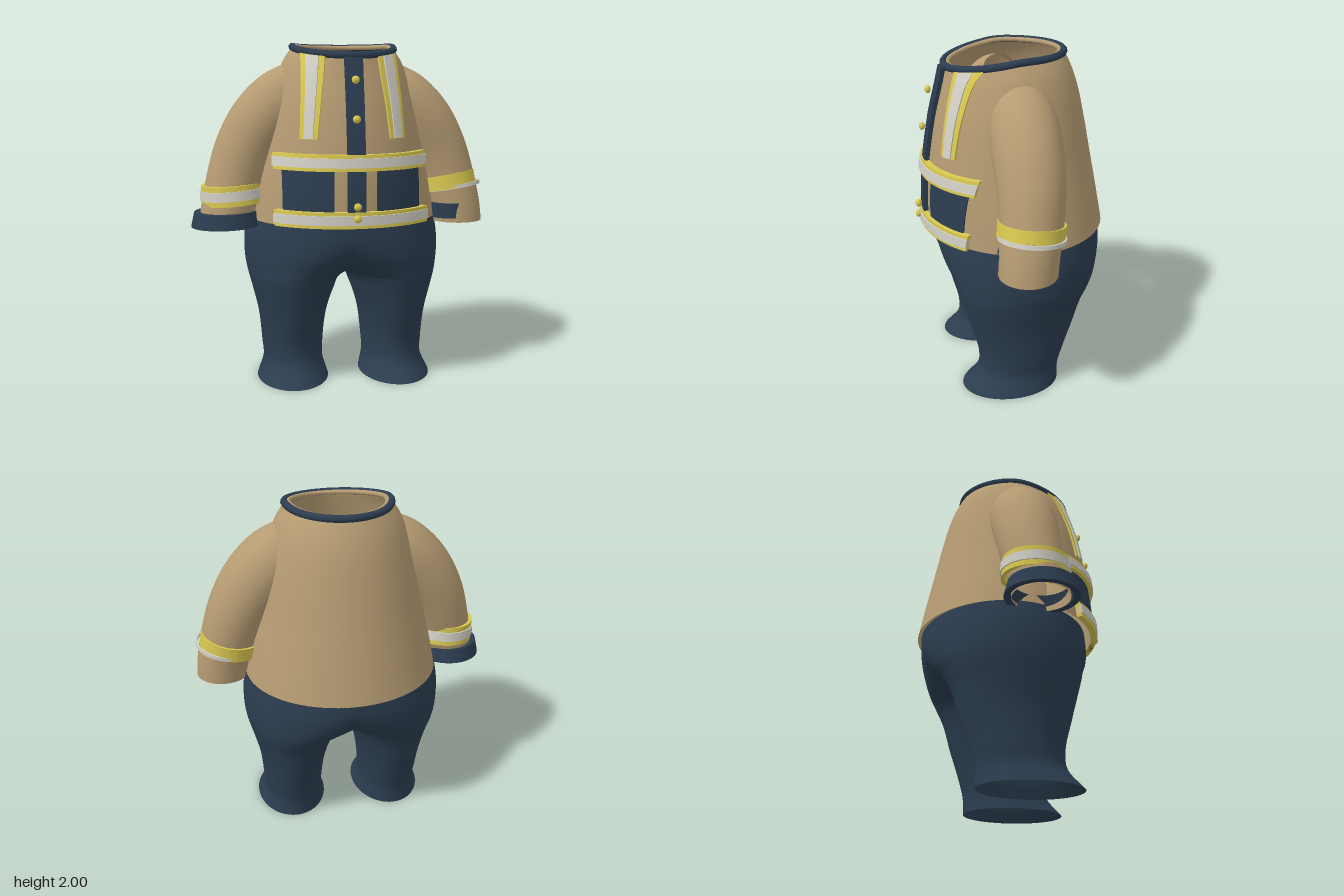
import * as THREE from 'three';
import { toCreasedNormals } from 'three/addons/utils/BufferGeometryUtils.js';

const CX = 0.02; // centre line of the suit

function material(name, color) {
  const m = new THREE.MeshStandardMaterial({ color, side: THREE.DoubleSide });
  m.name = name;
  return m;
}

// Smooth lookup in a table of rows [y, a, b, ...]
function table(rows) {
  const size = rows[0].length - 1;
  const curve = new THREE.CubicInterpolant(rows.map(r => r[0]), rows.flatMap(r => r.slice(1)), size, new Float32Array(size));
  return y => Array.from(curve.evaluate(y));
}

// Grid surface from a rule fn(u, v) -> [x, y, z]; seam normals are smoothed
function loft(cols, rows, fn) {
  const g = new THREE.PlaneGeometry(1, 1, cols, rows);
  const p = g.attributes.position;
  for (let i = 0; i < p.count; i++) {
    const c = i % (cols + 1), r = Math.floor(i / (cols + 1));
    p.setXYZ(i, ...fn(c / cols, 1 - r / rows, c, r));
  }
  g.computeVertexNormals();
  const n = g.attributes.normal, a = new THREE.Vector3(), b = new THREE.Vector3();
  for (let r = 0; r <= rows; r++) {
    const i = r * (cols + 1), j = i + cols;
    a.fromBufferAttribute(p, i); b.fromBufferAttribute(p, j);
    if (a.distanceTo(b) < 1e-4) {
      a.fromBufferAttribute(n, i); b.fromBufferAttribute(n, j);
      a.add(b).normalize();
      n.setXYZ(i, a.x, a.y, a.z); n.setXYZ(j, a.x, a.y, a.z);
    } else {
      for (const k of [i, j]) {
        if (Math.abs(p.getX(k)) > 1e-4) continue;
        a.fromBufferAttribute(n, k).setX(0).normalize();
        n.setXYZ(k, a.x, a.y, a.z);
      }
    }
  }
  return g;
}

// Jacket body: y, half width, front z, back z
const jacketAt = table([
  [0.98, 0.568, 0.49, -0.557], [1.2, 0.525, 0.488, -0.515], [1.4, 0.48, 0.47, -0.475],
  [1.6, 0.44, 0.437, -0.435], [1.8, 0.385, 0.398, -0.388], [1.9, 0.345, 0.378, -0.35],
  [1.975, 0.295, 0.362, -0.312],
]);
function jacketPoint(angle, y, off = 0) {
  const [w, zf, zb] = jacketAt(y), d = (zf - zb) / 2;
  const s = Math.sin(angle), c = Math.cos(angle), len = Math.hypot(s / w, c / d);
  const z = (zf + zb) / 2 + d * c;
  const dip = 0.06 * Math.max(0, z / 0.37) * THREE.MathUtils.smoothstep(y, 1.6, 1.975);
  return [w * s + off * s / w / len, y - dip, z + off * c / d / len];
}

// Closed tube following the neck opening
function neckRing(off, radius) {
  const rim = [];
  for (let i = 0; i < 32; i++) rim.push(new THREE.Vector3(...jacketPoint(i / 32 * Math.PI * 2, 1.975, off)));
  return new THREE.TubeGeometry(new THREE.CatmullRomCurve3(rim, true), 72, radius, 10, true);
}

// Raised panel lying on the jacket front; bottom and top are [xLeft, xRight]
function panel(bottom, top, y0, y1, off) {
  const cols = 26, rows = 14;
  const g = loft(cols, rows, (u, v, c, r) => {
    const edge = c === 0 || c === cols || r === 0 || r === rows;
    const s = THREE.MathUtils.clamp((c - 1) / (cols - 2), 0, 1);
    const t = 1 - THREE.MathUtils.clamp((r - 1) / (rows - 2), 0, 1);
    const y = y0 + (y1 - y0) * t, lerp = THREE.MathUtils.lerp;
    const x = lerp(lerp(bottom[0], top[0], t), lerp(bottom[1], top[1], t), s);
    return jacketPoint(Math.asin(x / jacketAt(y)[0]), y, edge ? 0.002 : off);
  });
  return toCreasedNormals(g, 0.7);
}

// Trouser half: y, outer x, inner x (negative = joined at the middle), front z, back z
const CROTCH = 0.64;
const legAt = table([
  [0, 0.53, 0.10, 0.36, -0.23], [0.1, 0.49, 0.128, 0.27, -0.235], [0.2, 0.495, 0.125, 0.255, -0.26],
  [0.4, 0.515, 0.10, 0.30, -0.325], [0.55, 0.55, 0.05, 0.34, -0.37], [CROTCH, 0.573, 0, 0.365, -0.415],
  [0.7, 0.585, -0.12, 0.385, -0.455], [0.78, 0.592, -0.3, 0.42, -0.495], [0.87, 0.59, -0.47, 0.443, -0.525],
  [0.98, 0.572, -0.572, 0.45, -0.535],
]);
function trouserHalf(side) {
  return loft(48, 48, (u, v) => {
    const y = v <= 0.5 ? CROTCH * v * 2 : CROTCH + (0.98 - CROTCH) * (v - 0.5) * 2;
    const [xo, xi, zf, zb] = legAt(y);
    const cx = (xo + xi) / 2, rx = (xo - xi) / 2;
    const a = (2 * u - 1) * side * Math.acos(Math.max(-1, -cx / rx));
    return [side * Math.max(0, cx + rx * Math.cos(a)), y, (zf + zb) / 2 - (zf - zb) / 2 * Math.sin(a)];
  });
}

// Sleeve: path from the open end inside the shoulder to the wrist, with radius
const sleevePath = new THREE.CatmullRomCurve3([
  [0.18, 1.82, 0], [0.26, 1.755, 0.005], [0.36, 1.665, 0.01], [0.48, 1.535, 0.015],
  [0.575, 1.375, 0.02], [0.638, 1.2, 0.035], [0.682, 1.03, 0.058], [0.695, 0.94, 0.067],
].map(p => new THREE.Vector3(...p)));
const sleeveRadius = table([[0, 0.1], [1, 0.15], [2, 0.186], [3, 0.192], [4, 0.183], [5, 0.172], [6, 0.163], [7, 0.16]]);
function sleeve(side) {
  return loft(36, 42, (u, v) => {
    const t = 1 - v, c = sleevePath.getPoint(t), d = sleevePath.getTangent(t);
    d.x *= 1 - THREE.MathUtils.smoothstep(t, 0.75, 1); // level hem
    const len = Math.hypot(d.x, d.y), [r] = sleeveRadius(t * 7);
    const a = (2 * u - 1) * Math.PI * side, k = r * Math.cos(a);
    return [side * (c.x - d.y / len * k), c.y + d.x / len * k, c.z - r * Math.sin(a)];
  });
}

// Hoop of height h, with bottom and top radius
function hoop(rBottom, rTop, h, thick = 0.012) {
  const pts = [[rBottom - thick, -h / 2], [rBottom, -h / 2], [rTop, h / 2], [rTop - thick, h / 2], [rBottom - thick, -h / 2]];
  return toCreasedNormals(new THREE.LatheGeometry(pts.map(p => new THREE.Vector2(...p)), 40), 0.7);
}

export function createModel() {
  const tan = material('tan cloth', 0xb59b72);
  const navy = material('navy cloth', 0x2c3d50);
  const yellow = material('yellow trim', 0xd9c850);
  const silver = material('pale reflective tape', 0xd2d0c6);

  const model = new THREE.Group();
  model.name = 'workSuit';
  const suit = new THREE.Group();
  suit.name = 'suit';
  suit.position.x = CX;
  model.add(suit);
  const add = (name, geometry, mat, pos = [0, 0, 0], rot = [0, 0, 0]) => {
    const m = new THREE.Mesh(geometry, mat);
    m.name = name;
    m.position.set(...pos);
    m.rotation.set(...rot);
    suit.add(m);
    return m;
  };

  // Jacket body, collar and its lining
  add('jacketBody', loft(64, 32, (u, v) => jacketPoint((2 * u - 1) * Math.PI, 0.98 + 0.995 * v)), tan);
  add('collar', neckRing(0, 0.021), navy);
  add('collarLining', neckRing(-0.022, 0.014), tan);

  // Trousers, sleeves, pockets and chest tapes on both sides
  for (const s of [1, -1]) {
    const side = s > 0 ? 'left' : 'right';
    const span = (a, b) => (s > 0 ? [a, b] : [-b, -a]);
    add(side + 'TrouserLeg', trouserHalf(s), navy);
    add(side + 'Sleeve', sleeve(s), tan);
    add(side + 'Pocket', panel(span(0.118, 0.383), span(0.118, 0.383), 1.05, 1.31, 0.012), navy);
    add(side + 'ChestTapeEdge', panel(span(0.198, 0.288), span(0.143, 0.26), 1.465, 1.965, 0.014), yellow);
    add(side + 'ChestTape', panel(span(0.22, 0.266), span(0.172, 0.232), 1.467, 1.964, 0.022), silver);
  }

  // Front closure and waist tapes
  add('placket', panel([-0.048, 0.048], [-0.048, 0.048], 0.982, 1.965, 0.028), navy);
  for (const [name, y, x] of [['waistTape', 1.34, 0.409], ['hemTape', 1.027, 0.414]]) {
    add(name + 'Edge', panel([-x, x], [-x, x], y - 0.045, y + 0.045, 0.036), yellow);
    add(name, panel([-x, x], [-x, x], y - 0.026, y + 0.026, 0.044), silver);
  }
  for (const [y, z] of [[1.785, 0.457], [1.575, 0.498], [1.105, 0.54], [1.04, 0.542]]) {
    add('button', new THREE.SphereGeometry(0.022, 16, 12), yellow, [0, y, z]).scale.z = 0.75;
  }

  // Right sleeve trim
  add('rightCuff', hoop(0.206, 0.185, 0.085, 0.035), navy, [-0.698, 0.985, 0.07], [0, 0, 0.02]);
  add('rightSleeveBandEdge', hoop(0.19, 0.183, 0.115, 0.022), yellow, [-0.655, 1.13, 0.045], [0, 0, 0.07]);
  add('rightSleeveBand', hoop(0.196, 0.192, 0.055), silver, [-0.655, 1.13, 0.045], [0, 0, 0.07]);

  // Left sleeve trim: a loose tilted band, with the cuff tucked inside the sleeve
  add('leftCuff', hoop(0.145, 0.145, 0.09), navy, [0.655, 1.01, 0.075]);
  add('leftSleeveBandEdge', hoop(0.184, 0.184, 0.085), yellow, [0.635, 1.17, 0.035], [-0.12, 0, 0.17]);
  add('leftSleeveBand', hoop(0.184, 0.184, 0.022), silver, [0.665, 1.14, 0.04], [-0.1, 0, 0.15]);

  return model;
}
